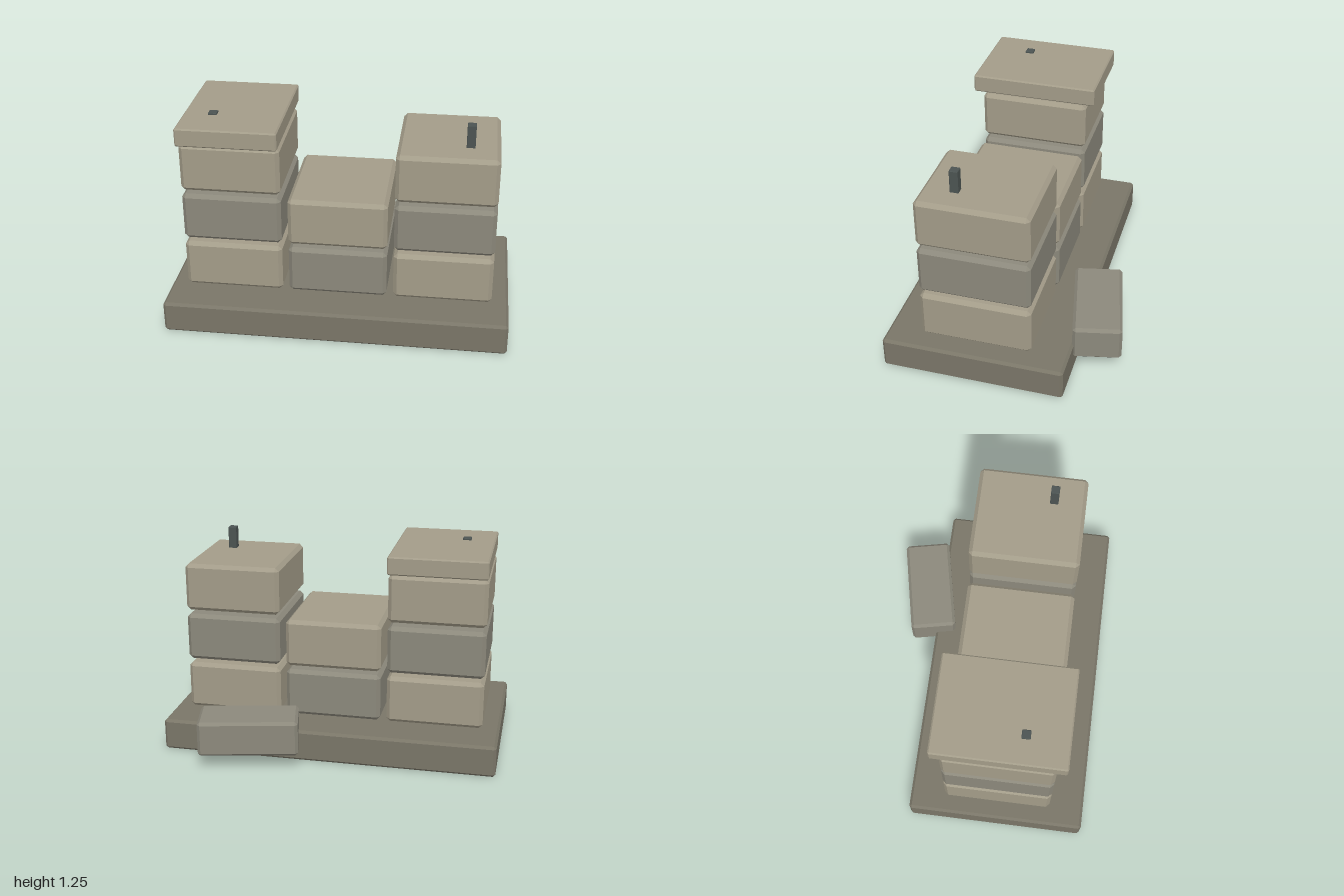
import * as THREE from 'three';
import { ConvexGeometry } from 'three/addons/geometries/ConvexGeometry.js';

const paint = (color) => new THREE.MeshStandardMaterial({ color, flatShading: true });

// Box with every edge bevelled by c: hull of 24 inset corners
function bevelledBox(w, h, d, c) {
  const points = [];
  for (const x of [-1, 1]) for (const y of [-1, 1]) for (const z of [-1, 1]) {
    const X = w / 2, Y = h / 2, Z = d / 2;
    points.push(
      new THREE.Vector3(x * X, y * (Y - c), z * (Z - c)),
      new THREE.Vector3(x * (X - c), y * Y, z * (Z - c)),
      new THREE.Vector3(x * (X - c), y * (Y - c), z * Z));
  }
  return new ConvexGeometry(points);
}

export function createModel() {
  const group = new THREE.Group();
  const lightStone = paint(0xa39c89);
  const greyStone = paint(0x8c897c);
  const baseStone = paint(0x7a7668);
  const iron = paint(0x4c5452);

  function add(name, geometry, material, x, y, z) {
    const mesh = new THREE.Mesh(geometry, material);
    mesh.name = name;
    mesh.position.set(x, y, z);
    group.add(mesh);
    return mesh;
  }

  // Foundation slab
  add('foundation', bevelledBox(2, 0.19, 1.065, 0.015), baseStone, 0, 0.095, 0.132);

  // Three columns of wall blocks, alternating stone tones
  const block = bevelledBox(0.575, 0.287, 0.647, 0.022);
  [3, 2, 3].forEach((count, column) => {
    for (let row = 0; row < count; row++) {
      const material = (row + column) % 2 ? greyStone : lightStone;
      add('wallBlock', block, material, (column - 1) * 0.613, 0.347 + row * 0.3115, 0.133);
    }
  });

  // Overhanging cap stone on one column
  add('capStone', bevelledBox(0.575, 0.108, 0.755, 0.008), lightStone, -0.613, 1.182, 0.135);

  // Reinforcing rods through the outer columns
  const rod = bevelledBox(0.05, 1.1, 0.05, 0.003);
  for (const side of [-1, 1]) add('rod', rod, iron, side * 0.732, 0.697, 0.268);

  // Fallen block resting askew over the back edge
  const fallen = add('fallenBlock', bevelledBox(0.582, 0.211, 0.283, 0.017), greyStone, 0.443, 0.202, -0.472);
  fallen.rotation.y = 0.21;

  return group;
}
